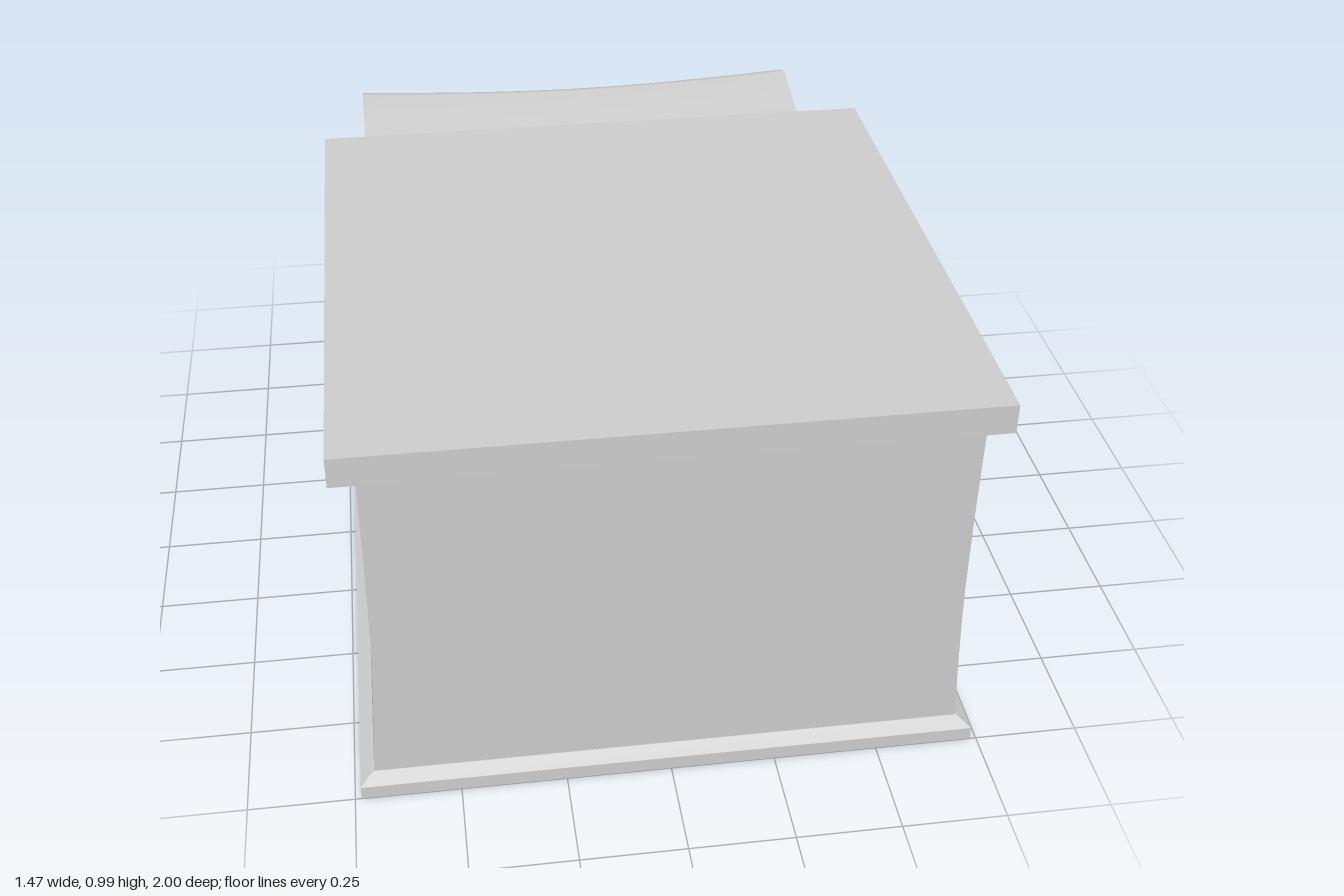
import * as THREE from 'three';

const material = new THREE.MeshStandardMaterial({ color: 0xcccccc, side: THREE.DoubleSide });

function add(parent, name, geometry, x = 0, y = 0, z = 0) {
  const mesh = new THREE.Mesh(geometry, material);
  mesh.name = name;
  mesh.position.set(x, y, z);
  parent.add(mesh);
  return mesh;
}

const box = (w, h, d) => new THREE.BoxGeometry(w, h, d);

// Moves every vertex of a geometry by a rule
function bend(geometry, rule) {
  const p = geometry.attributes.position;
  const v = new THREE.Vector3();
  for (let i = 0; i < p.count; i++) {
    v.fromBufferAttribute(p, i);
    rule(v);
    p.setXYZ(i, v.x, v.y, v.z);
  }
  geometry.computeVertexNormals();
  return geometry;
}

// Rectangular block whose rings are [y, half width, back z, front z]
function block(rings, flat) {
  const n = rings.length - 1;
  let g = new THREE.BoxGeometry(2, 1, 1, 1, n, 1);
  if (flat) g = g.toNonIndexed();
  return bend(g, (v) => {
    const [y, hx, back, front] = rings[Math.round((v.y + 0.5) * n)];
    v.set(v.x * hx, y, v.z > 0 ? front : back);
  });
}

// Rail along x that dips between its ends
function saggingRail(length, height, depth, sag) {
  return bend(new THREE.BoxGeometry(length, height, depth, 10, 1, 1), (v) => {
    v.y -= sag * Math.cos((v.x / length) * Math.PI);
  });
}

// Post pinched at mid height
function post(height, width) {
  return bend(new THREE.BoxGeometry(width, height, width, 1, 6, 1), (v) => {
    const s = 0.8 + 0.2 * Math.pow(Math.abs(v.y * 2 / height), 1.5);
    v.x *= s;
    v.z *= s;
  });
}

// Rectangular trim with an open middle, depth towards -z
function trim(x0, x1, y0, y1, border, depth) {
  const outline = (a, b, c, d) => [[a, c], [b, c], [b, d], [a, d]].map(([x, y]) => new THREE.Vector2(x, y));
  const shape = new THREE.Shape(outline(x0, x1, y0, y1));
  shape.holes.push(new THREE.Path(outline(x0 + border, x1 - border, y0 + border, y1 - border)));
  return new THREE.ExtrudeGeometry(shape, { depth, bevelEnabled: false }).translate(0, 0, -depth);
}

// Straight bar between two points in the yz plane
function bar(parent, name, x, [z0, y0], [z1, y1], thick) {
  const length = Math.hypot(z1 - z0, y1 - y0);
  const mesh = add(parent, name, box(thick, thick, length), x, (y0 + y1) / 2, (z0 + z1) / 2);
  mesh.rotation.x = -Math.atan2(y1 - y0, z1 - z0);
}

export function createModel() {
  const model = new THREE.Group();
  model.name = 'cabin';

  // Main body: bevelled plinth, flared walls, slab roof
  add(model, 'plinth', block([[0, 0.735, -0.465, 1], [0.035, 0.735, -0.465, 1], [0.055, 0.705, -0.44, 0.97]], true));
  add(model, 'walls', block([
    [0.05, 0.702, -0.44, 0.968], [0.2, 0.692, -0.428, 0.971], [0.35, 0.684, -0.416, 0.974],
    [0.45, 0.68, -0.408, 0.976], [0.68, 0.677, -0.389, 0.979], [0.92, 0.677, -0.37, 0.982],
  ]));
  add(model, 'roof', box(1.47, 0.073, 1.465), 0, 0.9535, 0.2675);

  // Window and door lie on the leaning back wall
  const backWall = new THREE.Group();
  backWall.name = 'backWallFittings';
  backWall.position.set(0, 0.05, -0.44);
  backWall.rotation.x = Math.atan2(0.07, 0.87);
  model.add(backWall);
  add(backWall, 'windowFrame', trim(0.19, 0.54, 0.27, 0.78, 0.022, 0.014));
  add(backWall, 'windowPane', box(0.31, 0.47, 0.006), 0.365, 0.525, -0.001);
  add(backWall, 'doorFrame', trim(-0.53, -0.15, 0.03, 0.785, 0.014, 0.008));
  add(backWall, 'doorPanel', box(0.352, 0.62, 0.006), -0.34, 0.41, -0.001);
  add(backWall, 'doorKickPlate', box(0.352, 0.06, 0.012), -0.34, 0.068, -0.002);
  add(backWall, 'transomPane', trim(-0.505, -0.175, 0.715, 0.768, 0.01, 0.008));

  // Porch deck
  add(model, 'deck', box(1.27, 0.026, 0.4), 0, 0.073, -0.625);

  // Porch posts and sagging handrails
  for (const x of [-0.6, 0, 0.6]) {
    add(model, 'railingPost', post(0.305, 0.042), x, 0.2375, -0.79);
    add(model, 'postCap', box(0.056, 0.024, 0.056), x, 0.398, -0.793);
  }
  for (const side of [-1, 1]) {
    add(model, 'backHandrail', saggingRail(0.56, 0.016, 0.042, 0.014), side * 0.3, 0.4, -0.793);
    const sideRail = add(model, 'sideHandrail', saggingRail(0.375, 0.016, 0.042, 0.011), side * 0.6, 0.4, -0.59);
    sideRail.rotation.y = Math.PI / 2;
  }

  // Awning sheet: [z, y] profile, dipping towards the middle
  const profile = [[-0.36, 0.885], [-0.5, 0.862], [-0.63, 0.838], [-0.77, 0.87], [-0.905, 0.903],
    [-0.94, 0.893], [-0.965, 0.873], [-0.992, 0.838]];
  const n = profile.length - 1;
  add(model, 'awning', bend(new THREE.BoxGeometry(1.266, 0.012, 1, 16, 1, n), (v) => {
    const i = Math.round((0.5 - v.z) * n);
    const [z, y] = profile[i];
    const a = profile[Math.max(i - 1, 0)], b = profile[Math.min(i + 1, n)];
    const slope = Math.atan2(b[1] - a[1], a[0] - b[0]);
    const dip = Math.cos((v.x / 1.266) * Math.PI);
    const out = v.y;
    v.z = z + out * Math.sin(slope) + (i / n) * 0.02 * dip;
    v.y = y + out * Math.cos(slope) - 0.018 * dip * Math.min(1, i / 2);
  }));

  // Awning arms and diagonal braces
  for (const side of [-1, 1]) {
    const x = side * 0.62;
    bar(model, 'awningArm', x, [-0.37, 0.872], [-0.62, 0.836], 0.02);
    bar(model, 'awningBrace', x, [-0.395, 0.675], [-0.595, 0.835], 0.02);
    bar(model, 'awningEdge', x, [-0.62, 0.834], [-0.905, 0.896], 0.014);
  }

  return model;
}
